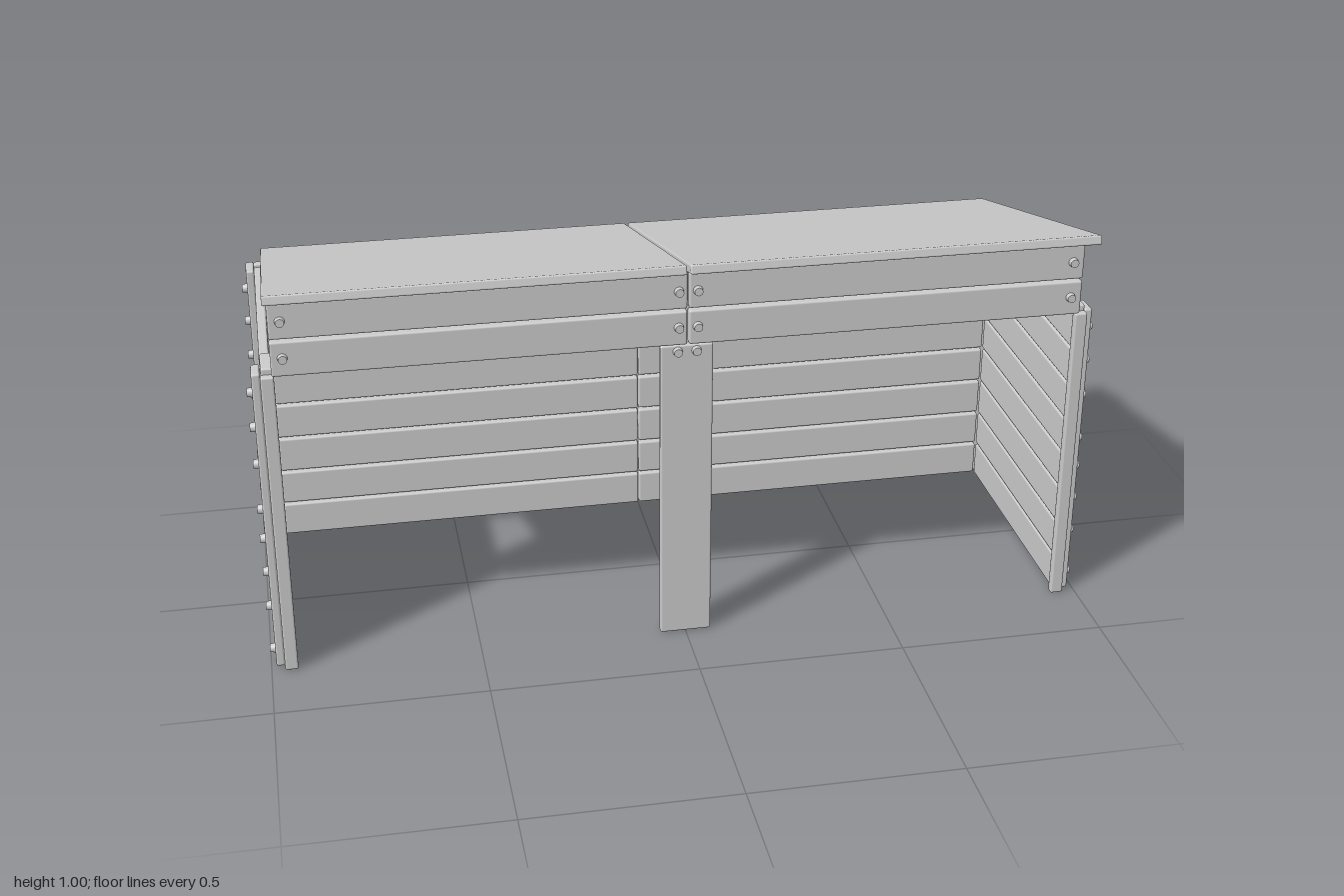
import * as THREE from 'three';
import { RoundedBoxGeometry } from 'three/addons/geometries/RoundedBoxGeometry.js';

const material = new THREE.MeshStandardMaterial({ color: 0xcccccc });
const SEAMS = [0.007, 0.1, 0.194, 0.291, 0.387, 0.479, 0.574, 0.668, 0.775];
const BOLT_Y = [0.037, 0.155, 0.248, 0.337, 0.415, 0.533, 0.627, 0.715];

export function createModel() {
  const model = new THREE.Group();

  const add = (parent, name, geometry) => {
    const mesh = new THREE.Mesh(geometry, material);
    mesh.name = name;
    parent.add(mesh);
    return mesh;
  };
  // Softly rounded board given by its limits on each axis
  const board = (parent, name, [x0, x1], [y0, y1], [z0, z1], radius = 0.005) => {
    const mesh = add(parent, name, new RoundedBoxGeometry(x1 - x0, y1 - y0, z1 - z0, 2, radius));
    mesh.position.set((x0 + x1) / 2, (y0 + y1) / 2, (z0 + z1) / 2);
    return mesh;
  };
  // Bolt head standing off a surface along the given axis
  const bolt = (parent, x, y, z, axis) => {
    const mesh = add(parent, 'bolt', new THREE.CylinderGeometry(0.01, 0.012, 0.015, 16));
    mesh.position.set(x, y, z);
    if (axis === 'x') mesh.rotation.z = x > 0 ? -Math.PI / 2 : Math.PI / 2;
    else mesh.rotation.x = z > 0 ? Math.PI / 2 : -Math.PI / 2;
  };
  const section = (name) => {
    const group = new THREE.Group();
    group.name = name;
    model.add(group);
    return group;
  };
  // Limits mirrored to either side
  const mirror = (s, a, b) => (s > 0 ? [a, b] : [-b, -a]);

  // Side walls with outer posts, front edge strips and bolts
  for (const s of [1, -1]) {
    const wall = section(s > 0 ? 'leftWall' : 'rightWall');
    for (let i = 0; i < 8; i++)
      board(wall, 'sidePlank', mirror(s, 0.945, 0.968), [SEAMS[i] + 0.002, SEAMS[i + 1] - 0.002], [-0.325, 0.303]);
    for (const [z0, z1, zb] of [[0.245, 0.303, 0.272], [-0.365, -0.3, -0.332]]) {
      board(wall, 'sidePost', mirror(s, 0.968, 0.988), [0.003, 0.772], [z0, z1]);
      for (const y of BOLT_Y) bolt(wall, s * 0.993, y, zb, 'x');
    }
    board(wall, 'frontEdgeStrip', mirror(s, 0.937, 0.968), [0.003, 0.772], [0.304, 0.325]);
  }

  // Back wall in two runs of planks
  const back = section('backWall');
  for (const s of [1, -1])
    for (let i = 0; i < 8; i++)
      board(back, 'backPlank', mirror(s, 0.001, 0.944), [SEAMS[i] + 0.003, SEAMS[i + 1] - 0.003], [-0.345, -0.323]);

  // Back posts: corners, intermediate battens and the wide joining post
  const backPosts = [
    [-0.968, -0.906, [-0.937]], [-0.49, -0.43, [-0.46]], [-0.06, 0.06, [-0.033, 0.033]],
    [0.47, 0.53, [0.5]], [0.906, 0.968, [0.937]],
  ];
  for (const [x0, x1, columns] of backPosts) {
    board(back, 'backPost', [x0, x1], [0.003, 0.772], [-0.365, -0.345]);
    for (const x of columns) for (const y of BOLT_Y) bolt(back, x, y, -0.368, 'z');
  }

  // Middle front post
  const front = section('frontFrame');
  board(front, 'middleFrontPost', [-0.062, 0.062], [0.003, 0.772], [0.304, 0.325]);
  for (const x of [-0.022, 0.022]) bolt(front, x, 0.757, 0.329, 'z');

  // Front fascia boards
  for (const s of [1, -1])
    for (const [y0, y1, yb] of [[0.778, 0.862, 0.823], [0.868, 0.955, 0.912]]) {
      board(front, 'fasciaBoard', mirror(s, 0.002, 0.942), [y0, y1], [0.314, 0.338]);
      for (const x of [0.022, 0.915]) bolt(front, s * x, yb, 0.342, 'z');
    }

  // Sloped roof supports on flat pads
  const profile = new THREE.Shape([
    new THREE.Vector2(0.223, 0.787), new THREE.Vector2(0.313, 0.787),
    new THREE.Vector2(0.313, 0.954), new THREE.Vector2(0.223, 0.931),
  ]);
  for (const [x0, x1] of [[-0.94, -0.895], [-0.04, 0.04], [0.895, 0.94]]) {
    const support = add(front, 'roofSupport',
      new THREE.ExtrudeGeometry(profile, { depth: x1 - x0, bevelEnabled: false }));
    support.rotation.y = -Math.PI / 2;
    support.position.x = x1;
    const reach = Math.abs(x0 + x1) < 0.01 ? 0 : 0.026;
    board(front, 'supportPad', [x0 < -0.5 ? x0 - reach : x0, x0 > 0.5 ? x1 + reach : x1], [0.764, 0.787], [0.22, 0.308]);
  }

  // Two sloping roof panels with a narrow gap between
  const roof = section('roof');
  for (const [x0, x1] of [[-0.95, -0.018], [-0.01, 0.95]]) {
    const panel = board(roof, 'roofPanel', [x0, x1], [0.874, 0.896], [-0.427, 0.427], 0.004);
    panel.rotation.x = -0.26;
  }
  return model;
}
